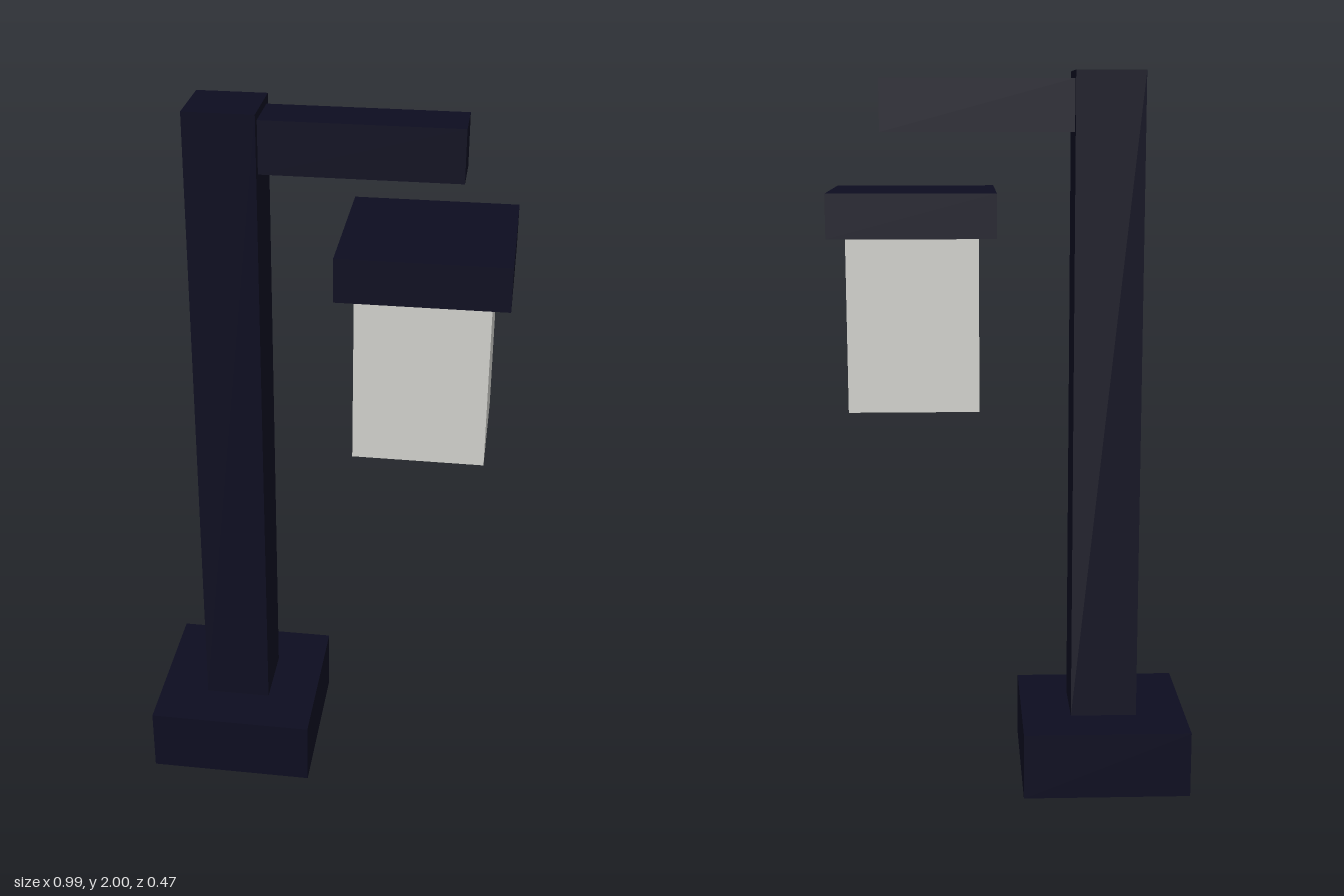
import * as THREE from 'three';

export function createModel() {
  const group = new THREE.Group();
  group.name = 'streetLantern';

  const darkMetal = new THREE.MeshStandardMaterial({ color: 0x0d0d20 });
  darkMetal.name = 'dark navy metal';
  const paleGlass = new THREE.MeshStandardMaterial({ color: 0xcfcfca });
  paleGlass.name = 'pale grey glass';

  // Box from its x and y extents, centred on z = 0
  function addBox(name, [x0, x1], [y0, y1], depth, material) {
    const mesh = new THREE.Mesh(new THREE.BoxGeometry(x1 - x0, y1 - y0, depth), material);
    mesh.name = name;
    mesh.position.set((x0 + x1) / 2, (y0 + y1) / 2, 0);
    group.add(mesh);
  }

  // Standing parts
  addBox('base', [-0.495, -0.025], [0, 0.188], 0.47, darkMetal);
  addBox('post', [-0.354, -0.166], [0.188, 2], 0.188, darkMetal);
  addBox('arm', [-0.166, 0.357], [1.838, 1.979], 0.14, darkMetal);

  // Lantern hanging free below the arm
  addBox('lanternCap', [0.047, 0.493], [1.566, 1.684], 0.446, darkMetal);
  addBox('lanternGlass', [0.094, 0.446], [1.098, 1.566], 0.353, paleGlass);

  return group;
}
